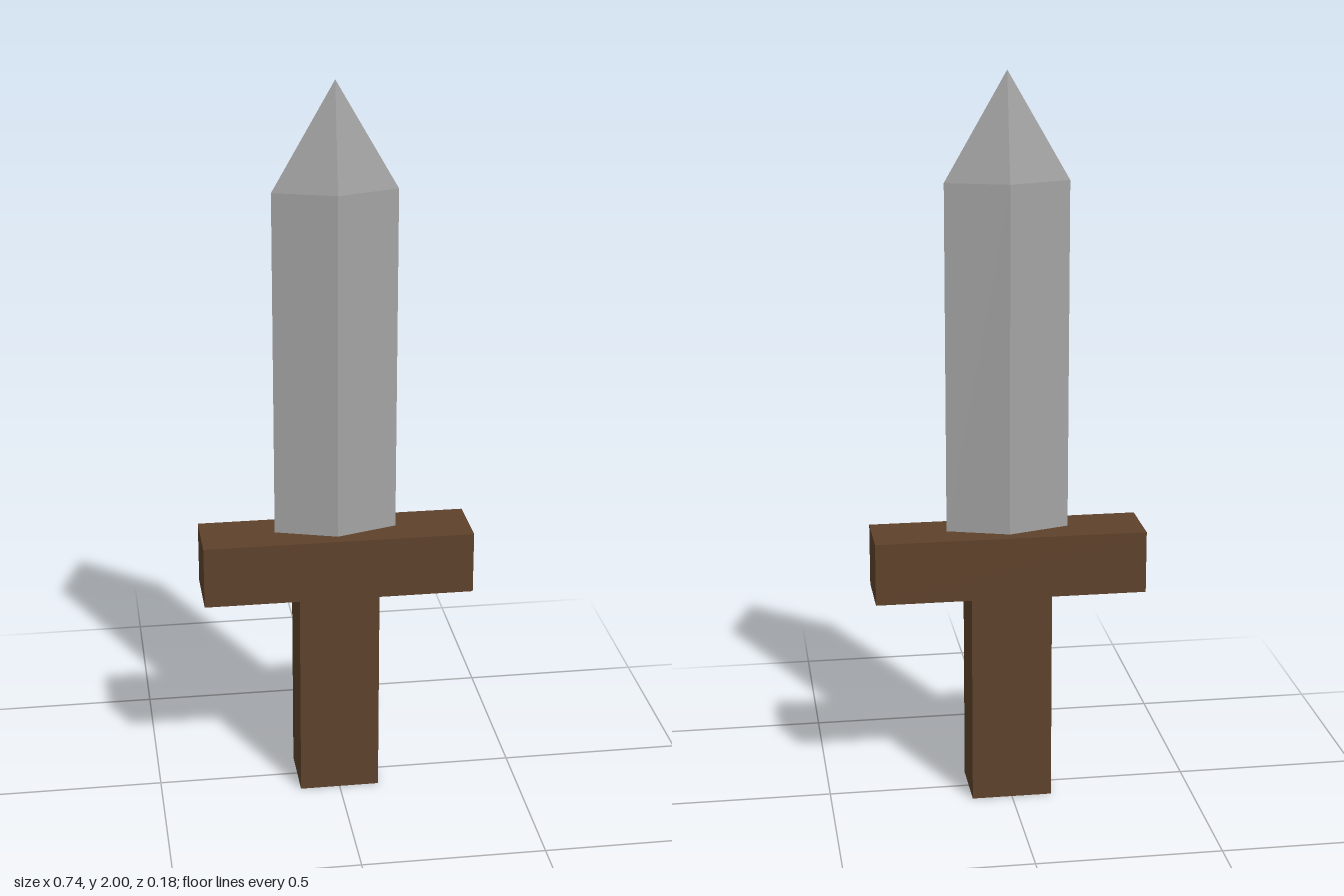
import * as THREE from 'three';

export function createModel() {
  const model = new THREE.Group();
  model.name = 'shortSword';

  const wood = new THREE.MeshStandardMaterial({ name: 'brown wood', color: 0x5e422b, flatShading: true });
  const steel = new THREE.MeshStandardMaterial({ name: 'grey steel', color: 0xa3a3a3, flatShading: true });

  const add = (name, geometry, material, y) => {
    const mesh = new THREE.Mesh(geometry, material);
    mesh.name = name;
    mesh.position.y = y;
    model.add(mesh);
  };

  // Hilt: square grip under a wide crossguard
  const gripTop = 0.585, guardTop = 0.757, depth = 0.176;
  add('grip', new THREE.BoxGeometry(0.22, gripTop, depth), wood, gripTop / 2);
  add('crossguard', new THREE.BoxGeometry(0.74, guardTop - gripTop, depth), wood, (gripTop + guardTop) / 2);

  // Blade: diamond cross-section that tapers to a point
  const shoulder = 1.71, tip = 2;
  const diamond = (topRadius, bottom, top) =>
    new THREE.CylinderGeometry(topRadius, 1, top - bottom, 4, 1, true).scale(0.167, 1, 0.053);
  add('blade', diamond(1, guardTop, shoulder), steel, (guardTop + shoulder) / 2);
  add('bladeTip', diamond(0, shoulder, tip), steel, (shoulder + tip) / 2);

  return model;
}
